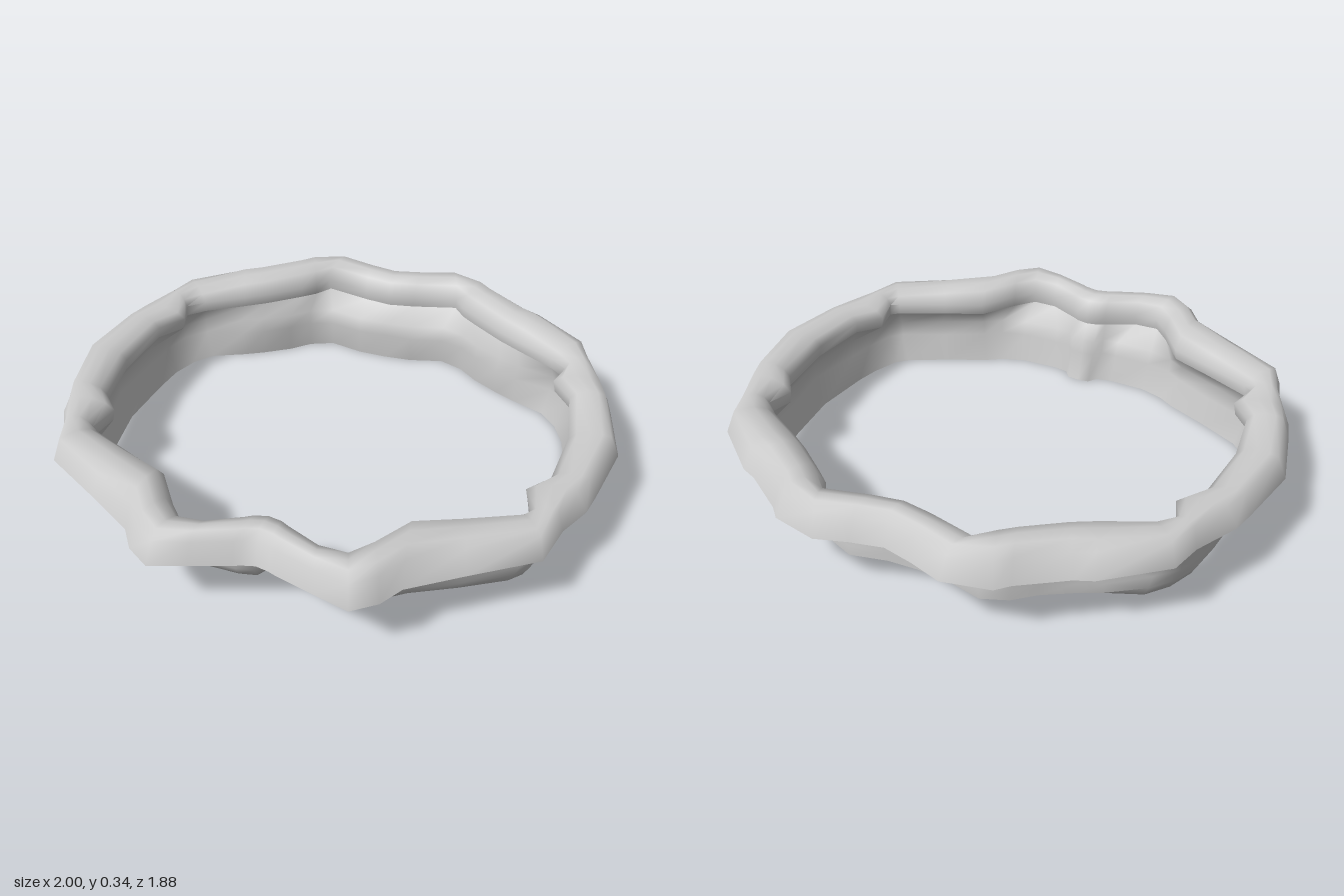
import * as THREE from 'three';
import { toCreasedNormals } from 'three/addons/utils/BufferGeometryUtils.js';

// Half outline, back to front: rim outer x,z | rim inner x,z | wall foot x,z
const half = [
  [0, -.885, 0, -.735, 0, -.70],
  [.11, -.91, .10, -.75, .11, -.705],
  [.22, -.945, .27, -.79, .24, -.735],
  [.38, -.91, .31, -.73, .33, -.70],
  [.42, -.87, .36, -.69, .40, -.64],
  [.57, -.77, .48, -.60, .50, -.58],
  [.63, -.745, .56, -.55, .58, -.54],
  [.82, -.59, .70, -.47, .70, -.49],
  [.85, -.48, .76, -.42, .76, -.42],
  [.93, -.33, .73, -.33, .80, -.33],
  [.95, -.25, .80, -.24, .82, -.22],
  [1, -.01, .825, 0, .845, 0],
  [.95, .23, .80, .22, .82, .22],
  [.93, .31, .73, .30, .80, .31],
  [.87, .42, .76, .41, .76, .41],
  [.83, .57, .73, .43, .72, .45],
  [.62, .70, .56, .51, .57, .53],
  [.45, .81, .42, .57, .42, .60],
  [.40, .885, .33, .70, .36, .64],
  [.32, .94, .27, .77, .27, .67],
  [.20, .905, .18, .77, .13, .675],
  [.07, .865, .07, .715, .07, .665],
  [.045, .855, .045, .70, .045, .63],
  [0, .845, 0, .69, 0, .625],
];
const mirrored = half.slice(1, -1).reverse().map((s) => s.map((v, i) => (i % 2 ? v : -v)));
const stations = [...half, ...mirrored];

// Joins one open cross-section per station into a ring
function loft(section, crease) {
  const rows = stations.map(section);
  const n = rows[0].length, m = rows.length, index = [];
  for (let i = 0; i < m; i++) {
    for (let j = 0; j < n - 1; j++) {
      const a = i * n + j, c = ((i + 1) % m) * n + j;
      index.push(a, a + 1, c, a + 1, c + 1, c);
    }
  }
  const g = new THREE.BufferGeometry();
  g.setAttribute('position', new THREE.Float32BufferAttribute(rows.flat(2), 3));
  g.setIndex(index);
  return toCreasedNormals(g, crease);
}

// Point at fraction t from the rim's outer edge to its inner edge
const across = ([ox, oz, ix, iz], t, y) => [ox + (ix - ox) * t, y, oz + (iz - oz) * t];

// Rounded rim, rising slightly toward front and back
function rimSection(s) {
  const top = .31 + .025 * THREE.MathUtils.smoothstep(Math.abs(s[1]), .55, .85);
  return [
    across(s, 0, .23), across(s, .19, .306), across(s, .36, top), across(s, .6, top),
    across(s, .85, top - .015), across(s, 1, .27), across(s, .95, .225),
  ];
}

// Wall hanging from the rim: down the inside, around the foot, up to the outer edge
function wallSection(s) {
  const [, oz, , , wx, wz] = s;
  const r = Math.hypot(wx, wz);
  const belly = .04 * THREE.MathUtils.smoothstep(oz, -.85, -.5);
  const dent = .007 * Math.cos(12 * Math.atan2(wx, wz));
  const at = (off, y) => [wx * (1 + off / r), y, wz * (1 + off / r)];
  const neck = at(.08, .2).map((v, i) => (v + across(s, .6, .2)[i]) / 2);
  return [
    across(s, .95, .225), at(belly - .01, .165), at(belly - .02 + dent, .11), at(-.008, 0),
    at(.004, 0), at(.004 + belly / 2, .04), at(belly + dent, .1),
    at(belly + .005, .14), at(belly + .02, .17), neck, across(s, 0, .23),
  ];
}

export function createModel() {
  const group = new THREE.Group();
  group.name = 'ring';
  const material = new THREE.MeshStandardMaterial({ color: 0xcccccc, side: THREE.DoubleSide });
  const add = (name, geometry) => {
    const mesh = new THREE.Mesh(geometry, material);
    mesh.name = name;
    group.add(mesh);
  };
  add('rim', loft(rimSection, 1.35));
  add('wall', loft(wallSection, 1.35));
  return group;
}
